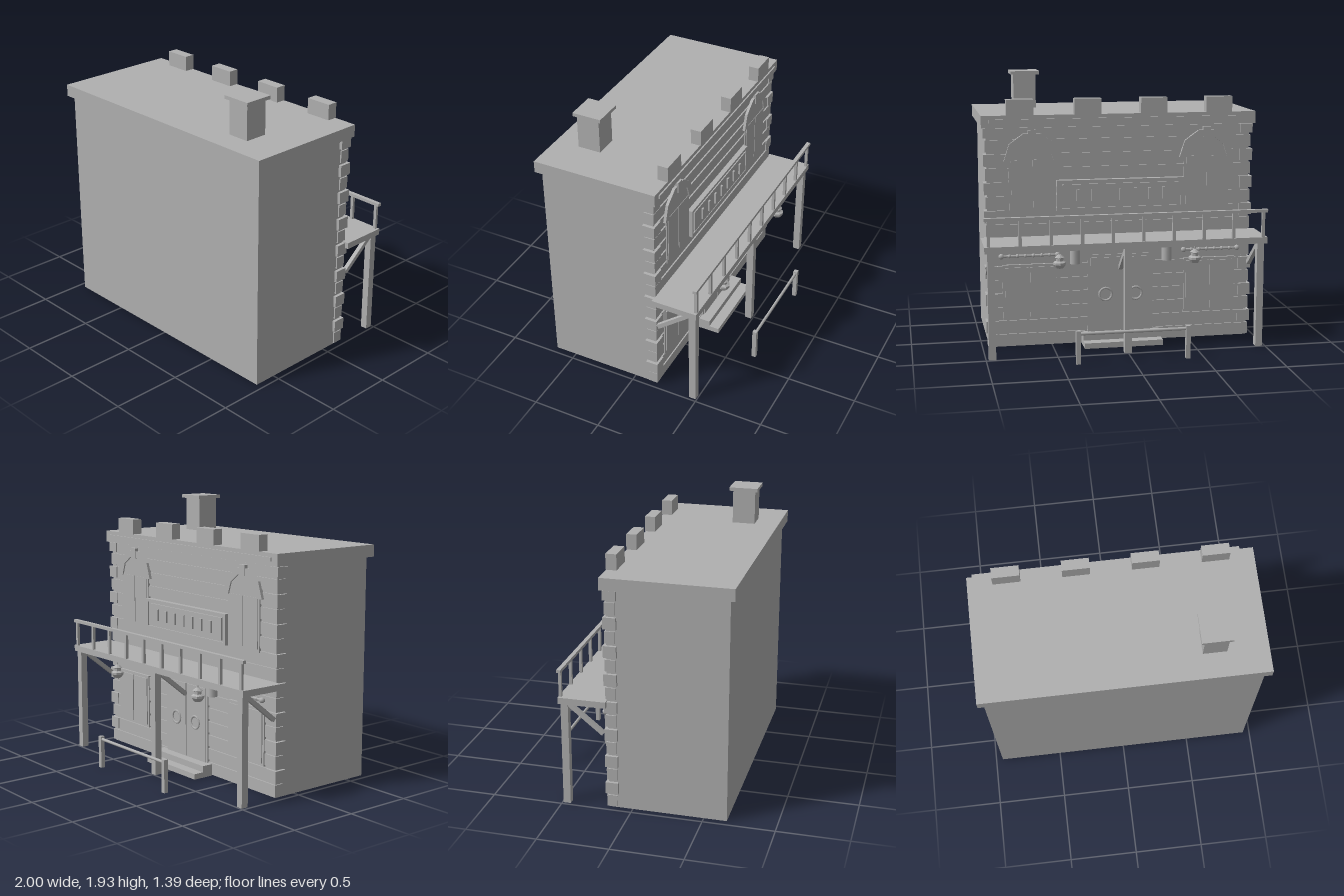
import * as THREE from 'three';

export function createModel() {
  const root = new THREE.Group();
  root.name = 'frontierHall';
  const grey = new THREE.MeshStandardMaterial({ color: 0xb0b0b0 });
  grey.name = 'plain grey';

  const add = (name, geo, x = 0, y = 0, z = 0) => {
    const m = new THREE.Mesh(geo, grey);
    m.name = name;
    m.position.set(x, y, z);
    root.add(m);
    return m;
  };
  // box given by its limits on each axis
  const block = (name, x0, x1, y0, y1, z0, z1) =>
    add(name, new THREE.BoxGeometry(x1 - x0, y1 - y0, z1 - z0), (x0 + x1) / 2, (y0 + y1) / 2, (z0 + z1) / 2);
  const flat = (geo) => {
    const g = geo.toNonIndexed();
    g.computeVertexNormals();
    return g;
  };

  // main building, roof slab and chimney
  block('building', -0.95, 0.95, 0, 1.58, -0.17, 0.66);
  block('roof', -0.985, 0.985, 1.58, 1.665, -0.205, 0.695);
  block('corniceStrip', -0.93, 0.93, 1.612, 1.638, -0.215, -0.2);
  block('chimney', 0.535, 0.7, 1.665, 1.91, 0.355, 0.52);
  block('chimneyCap', 0.51, 0.72, 1.91, 1.935, 0.33, 0.54);
  for (const x of [-0.715, -0.24, 0.235, 0.715]) block('parapetBlock', x - 0.095, x + 0.095, 1.665, 1.775, -0.21, -0.135);

  // siding boards and corner stones
  for (let i = 0; i < 16; i++) {
    const y = 0.05 + i * 0.1, top = Math.min(y + 0.042, 1.575);
    block('sidingBoard', -0.93, 0.93, y - 0.04, top, -0.18, -0.165);
    const wide = i % 2 === 1;
    for (const s of [-1, 1]) {
      const a = s * (wide ? 0.88 : 0.9), b = s * (wide ? 0.972 : 0.96);
      block('cornerStone', Math.min(a, b), Math.max(a, b), y - 0.042, top, wide ? -0.188 : -0.18, wide ? -0.098 : -0.108);
    }
  }

  // arched trim made of straight segments
  const arch = (rOut, rIn, n) => {
    const s = new THREE.Shape();
    for (let i = 0; i <= n; i++) {
      const t = (i / n) * Math.PI;
      s[i ? 'lineTo' : 'moveTo'](Math.cos(t) * rOut, Math.sin(t) * rOut);
    }
    for (let i = n; i >= 0; i--) {
      const t = (i / n) * Math.PI;
      s.lineTo(Math.cos(t) * rIn, Math.sin(t) * rIn);
    }
    return new THREE.ExtrudeGeometry(s, { depth: 0.025, bevelEnabled: false });
  };
  const paneTop = new THREE.Shape();
  paneTop.absarc(0, 0, 0.155, 0, Math.PI, false);

  for (const s of [-1, 1]) {
    // upper arched windows
    const x = s * 0.63;
    block('upperWindow', x - 0.165, x + 0.165, 0.98, 1.35, -0.188, -0.17);
    for (const k of [-1, 1]) block('upperWindowLeaf', x + k * 0.077 - 0.073, x + k * 0.077 + 0.073, 1.0, 1.35, -0.193, -0.18);
    add('upperWindowHead', new THREE.ExtrudeGeometry(paneTop, { depth: 0.02, bevelEnabled: false, curveSegments: 6 }), x, 1.35, -0.19);
    add('upperWindowArch', arch(0.2, 0.15, 5), x, 1.345, -0.2);
    block('keystone', x - 0.028, x + 0.028, 1.485, 1.56, -0.206, -0.18);

    // lower windows with a beaded rod above
    const w = s * 0.66;
    block('lowerWindow', w - 0.19, w + 0.19, 0.2, 0.6, -0.188, -0.17);
    for (const k of [-1, 1]) block('lowerWindowPane', w + k * 0.09 - 0.084, w + k * 0.09 + 0.084, 0.22, 0.58, -0.196, -0.18);
    const rod = add('windowRod', new THREE.CylinderGeometry(0.009, 0.009, 0.4, 8), w, 0.67, -0.215);
    rod.rotation.z = Math.PI / 2;
    for (let i = 0; i < 8; i++) {
      const end = i === 0 || i === 7;
      add('rodBead', new THREE.SphereGeometry(end ? 0.02 : 0.014, 8, 6), w - 0.2 + i * 0.4 / 7, 0.67, -0.215);
    }

    // wall lamps
    add('wallLamp', new THREE.CylinderGeometry(0.037, 0.037, 0.14, 12), s * 0.335, 0.67, -0.218);

    // hanging lanterns
    const profile = [[0, 0], [0.028, 0], [0.045, 0.025], [0.045, 0.04], [0.026, 0.05], [0.026, 0.07], [0.035, 0.075], [0.01, 0.095], [0, 0.095]]
      .map(([r, y]) => new THREE.Vector2(r, y));
    add('lantern', flat(new THREE.LatheGeometry(profile, 8)), s * 0.48, 0.63, -0.465);
    add('lanternHook', new THREE.CylinderGeometry(0.005, 0.005, 0.05, 6), s * 0.48, 0.735, -0.465);

    // double door leaf with a ring
    block('doorLeaf', s > 0 ? 0.004 : -0.22, s > 0 ? 0.22 : -0.004, 0.08, 0.63, -0.195, -0.17);
    add('doorRing', new THREE.TorusGeometry(0.046, 0.008, 6, 16), s * 0.11, 0.36, -0.197);

    // hitching rail posts
    block('hitchPost', s * 0.385 - 0.016, s * 0.385 + 0.016, 0, 0.235, -0.695, -0.664);
  }
  block('doorFrame', -0.24, 0.24, 0, 0.65, -0.188, -0.17);
  const hitch = add('hitchRail', new THREE.CylinderGeometry(0.011, 0.011, 0.8, 10), 0, 0.213, -0.68);
  hitch.rotation.z = Math.PI / 2;

  // door steps
  block('upperStep', -0.285, 0.285, 0, 0.085, -0.265, -0.18);
  block('lowerStep', -0.285, 0.285, 0, 0.04, -0.34, -0.26);

  // sign board with a plain row of raised slats
  block('signBoard', -0.46, 0.46, 0.98, 1.2, -0.2, -0.17);
  for (const y of [0.99, 1.19]) block('signFrame', -0.46, 0.46, y - 0.01, y + 0.01, -0.21, -0.195);
  for (const x of [-0.45, 0.45]) block('signFrame', x - 0.01, x + 0.01, 0.98, 1.2, -0.21, -0.195);
  block('signPanel', -0.42, 0.42, 1.01, 1.17, -0.212, -0.195);
  for (let i = -3; i <= 3; i++) block('signSlat', i * 0.103 - 0.01, i * 0.103 + 0.01, 1.05, 1.135, -0.225, -0.21);

  // balcony deck and railing
  block('balconyDeck', -1, 1, 0.755, 0.8, -0.505, -0.17);
  block('balconyRail', -1, 1, 0.978, 1.0, -0.507, -0.478);
  for (let i = 0; i < 10; i++) {
    const x = -0.97 + (i * 1.94) / 9;
    block('baluster', x - 0.011, x + 0.011, 0.8, 0.98, -0.502, -0.482);
  }

  // balcony posts with diagonal braces to the wall
  for (const x of [-0.955, 0, 0.955]) {
    block('balconyPost', x - 0.025, x + 0.025, 0, 0.755, -0.492, -0.44);
    const dy = 0.2, dz = -0.25;
    const brace = add('balconyBrace', new THREE.BoxGeometry(0.03, 0.03, Math.hypot(dy, dz)), x, 0.652, -0.322);
    brace.rotation.x = Math.atan2(dy, -dz);
  }
  return root;
}
